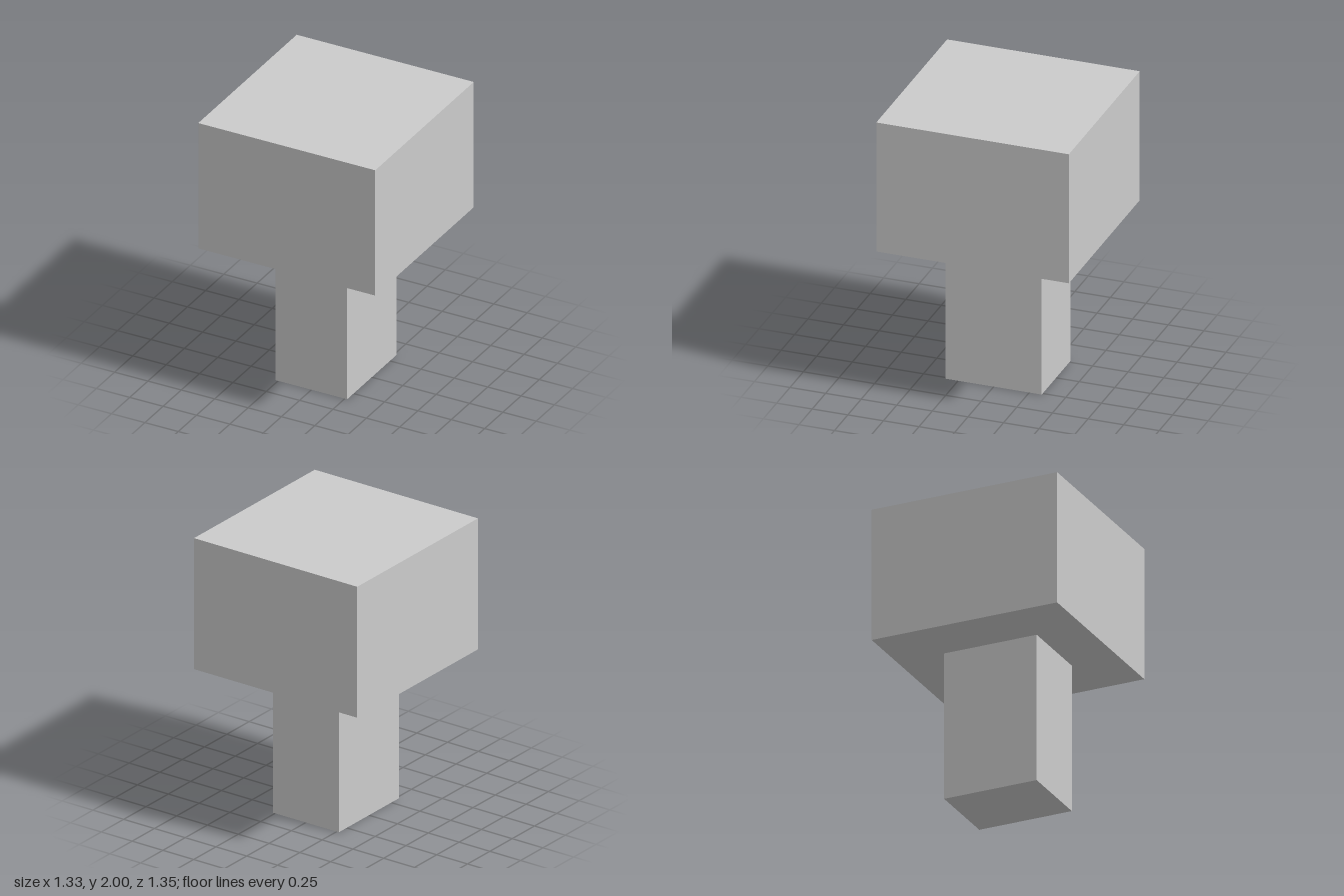
import * as THREE from 'three';

const material = new THREE.MeshStandardMaterial({ color: 0xcccccc, flatShading: true });

// Box standing on height y
function block(name, width, height, depth, y) {
  const mesh = new THREE.Mesh(new THREE.BoxGeometry(width, height, depth), material);
  mesh.name = name;
  mesh.position.y = y + height / 2;
  return mesh;
}

export function createModel() {
  const model = new THREE.Group();
  model.name = 'blockOnPost';
  const postHeight = 1.055;

  // Narrow post, deeper than it is wide
  model.add(block('post', 0.535, postHeight, 0.675, 0));

  // Large block resting on the post
  model.add(block('topBlock', 1.326, 2 - postHeight, 1.353, postHeight));

  return model;
}
